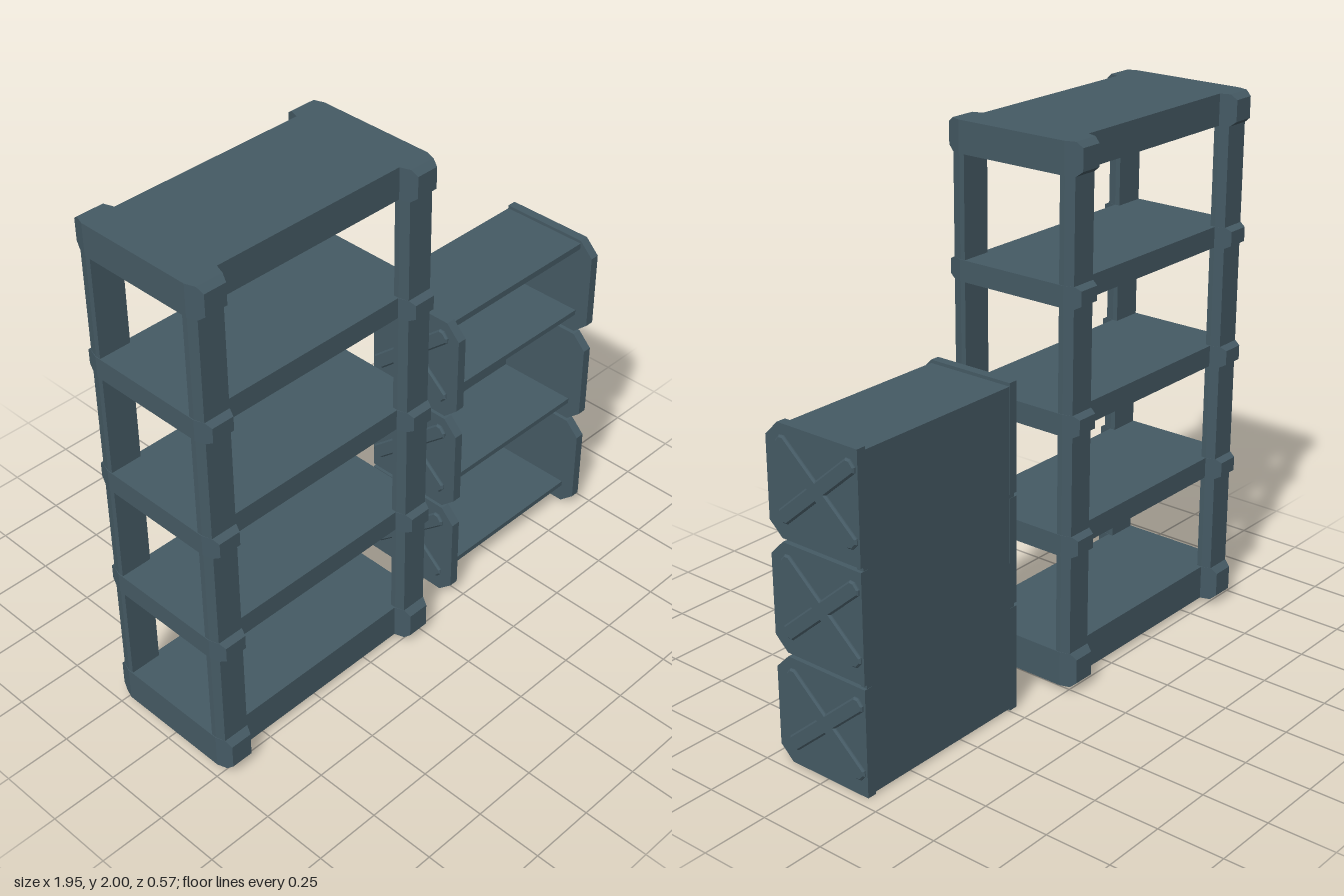
import * as THREE from 'three';
import { ConvexGeometry } from 'three/addons/geometries/ConvexGeometry.js';

const slate = new THREE.MeshStandardMaterial({ color: 0x455a64, name: 'slate' });

function add(parent, name, geometry, x = 0, y = 0, z = 0) {
  const mesh = new THREE.Mesh(geometry, slate);
  mesh.name = name;
  mesh.position.set(x, y, z);
  parent.add(mesh);
  return mesh;
}

const polygon = (points) => new THREE.Shape(points.map(([a, b]) => new THREE.Vector2(a, b)));

// Box from its limits
function slab(parent, name, x0, x1, y0, y1, z0, z1) {
  return add(parent, name, new THREE.BoxGeometry(x1 - x0, y1 - y0, z1 - z0),
    (x0 + x1) / 2, (y0 + y1) / 2, (z0 + z1) / 2);
}

// Outline drawn in z (across) and y (up), given thickness along x
function sidePlate(points, thickness, bevel = 0) {
  const geometry = new THREE.ExtrudeGeometry(polygon(points), {
    depth: thickness - 2 * bevel, bevelEnabled: bevel > 0, bevelSegments: 1,
    bevelSize: bevel, bevelThickness: bevel, bevelOffset: -bevel,
  });
  geometry.translate(0, 0, -thickness / 2 + bevel);
  return geometry.rotateY(-Math.PI / 2);
}

// Tapered corner bracket, side = 1 for front, -1 for back
function bracketGeometry(y0, y1, side) {
  const points = [];
  const inset = Math.min(0.02, (y1 - y0) * 0.16);
  for (const [z, halfX, dy] of [[0.2, 0.0625, 0], [0.225, 0.0625, 0], [0.262, 0.05, 0], [0.285, 0.042, inset]]) {
    for (const sx of [-1, 1]) {
      for (const y of [y0 + dy, y1 - dy]) points.push(new THREE.Vector3(sx * halfX, y, side * z));
    }
  }
  return new ConvexGeometry(points);
}

function createRack() {
  const rack = new THREE.Group();
  rack.name = 'tallRack';
  const postX = [-0.9125, -0.0375];
  const levels = [[0.02, 0.153], [0.53, 0.61], [0.98, 1.06], [1.437, 1.515], [1.885, 2.0]];

  // Shelves with a bracket at each corner
  for (const [y0, y1] of levels) {
    slab(rack, 'shelf', -0.975, 0.025, y0, y1, -0.225, 0.225);
    for (const x of postX) {
      for (const side of [-1, 1]) add(rack, 'cornerBracket', bracketGeometry(y0, y1, side), x);
    }
  }

  // Posts with bevelled outer edges
  const post = new THREE.ExtrudeGeometry(
    polygon([[-0.06, -0.205], [-0.06, -0.225], [-0.05, -0.26], [0.05, -0.26], [0.06, -0.225], [0.06, -0.205]]),
    { depth: 1.84, bevelEnabled: false });
  post.rotateX(-Math.PI / 2);
  for (const x of postX) {
    add(rack, 'frontPost', post, x, 0.09, 0);
    const back = add(rack, 'backPost', post, x, 0.09, 0);
    back.rotation.y = Math.PI;
  }
  return rack;
}

function createCrates() {
  const stack = new THREE.Group();
  stack.name = 'crateStack';
  const centre = 0.585;

  const panel = sidePlate([
    [-0.18, 0], [0.165, 0], [0.22, 0.05], [0.22, 0.345], [0.165, 0.4], [-0.18, 0.4],
  ], 0.035);

  // One arm of the cross, with clipped ends
  const half = 0.215, wide = 0.028, clip = 0.014;
  const arm = sidePlate([
    [-half, -wide + clip], [-half + clip, -wide], [half - clip, -wide], [half, -wide + clip],
    [half, wide - clip], [half - clip, wide], [-half + clip, wide], [-half, wide - clip],
  ], 0.03, 0.006);

  for (let i = 0; i < 3; i++) {
    const y = i * 0.414;
    slab(stack, 'crateFloor', 0.24, 0.93, y + 0.075, y + 0.095, -0.16, 0.165);
    for (const side of [-1, 1]) {
      add(stack, 'sidePanel', panel, centre + side * 0.3575, y, 0);
      for (const tilt of [-0.71, 0.71]) {
        add(stack, 'crossBrace', arm, centre + side * 0.37, y + 0.21, 0).rotation.x = tilt;
      }
    }
  }

  // Shared back wall and top board
  slab(stack, 'backWall', 0.222, 0.948, 0.008, 1.216, -0.179, -0.152);
  slab(stack, 'topBoard', 0.24, 0.93, 1.192, 1.216, -0.178, 0.165);
  return stack;
}

export function createModel() {
  const model = new THREE.Group();
  model.name = 'storageShelves';
  model.add(createRack(), createCrates());
  return model;
}
